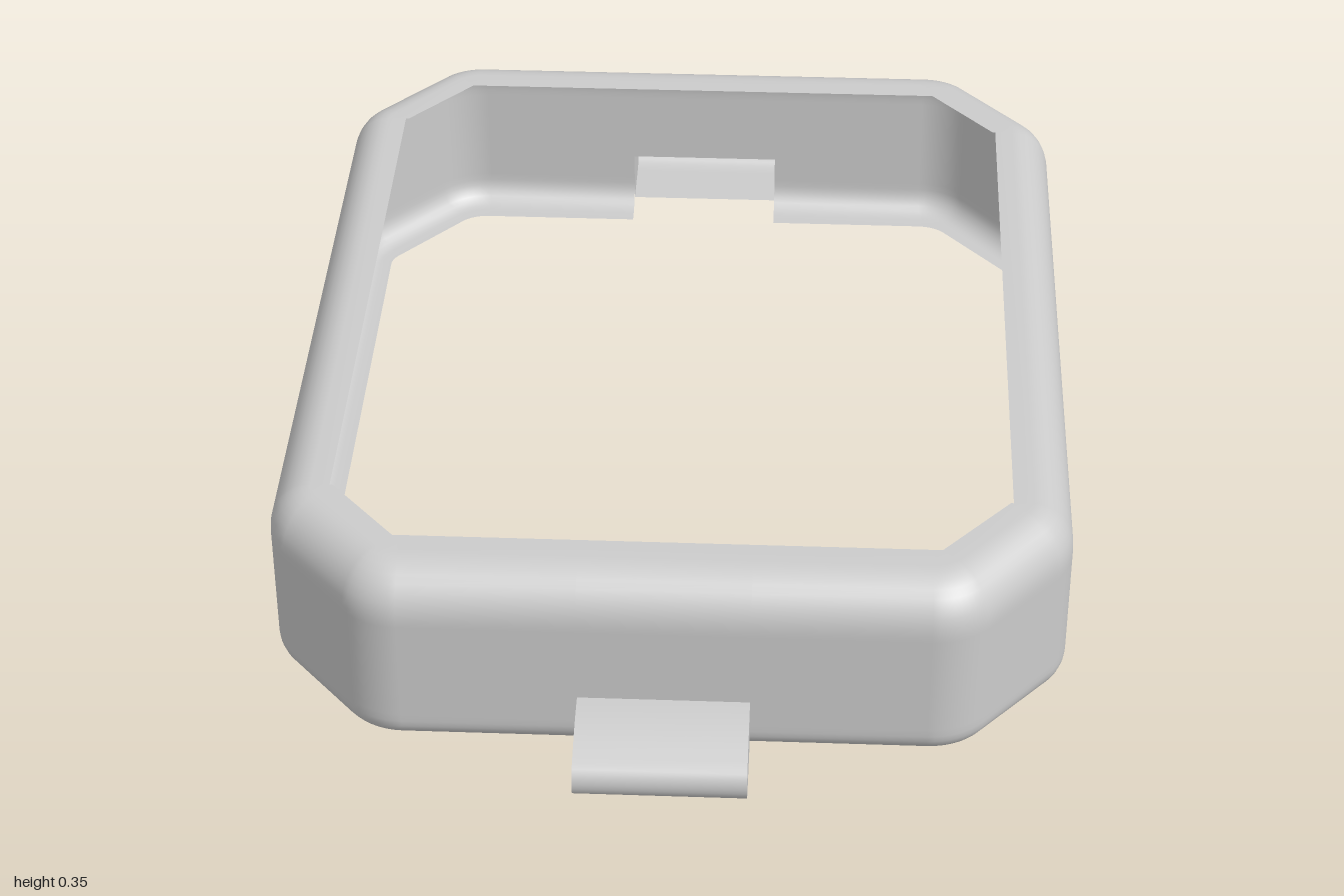
import * as THREE from 'three';

const material = new THREE.MeshStandardMaterial({ color: 0xcccccc, side: THREE.DoubleSide });
const TAB = 0.145, TAB_TOP = 0.11;          // half width and height of the tab openings
const WIN = 0.555, WIN_LOW = 0.06, WIN_HIGH = 0.25;

// Skin a grid of points; keep(col, row) may leave openings
function skin(cols, rows, point, closed, keep = () => true) {
  const pos = [], index = [];
  for (let j = 0; j < rows; j++) for (let i = 0; i < cols; i++) pos.push(...point(i, j));
  for (let j = 0; j < rows - 1; j++) {
    for (let i = 0; i < (closed ? cols : cols - 1); i++) {
      if (!keep(i, j)) continue;
      const a = j * cols + i, b = j * cols + (i + 1) % cols;
      index.push(a, b, b + cols, a, b + cols, a + cols);
    }
  }
  const g = new THREE.BufferGeometry();
  g.setAttribute('position', new THREE.Float32BufferAttribute(pos, 3));
  g.setIndex(index);
  g.computeVertexNormals();
  return g;
}

// Chamfered, rounded outline as points with outward normals
function outline() {
  const half = [], r = 0.125, steps = 8;
  const front = new THREE.Vector2(0, 1), side = new THREE.Vector2(1, 0), back = new THREE.Vector2(0, -1);
  const diagF = new THREE.Vector2(0.21, 0.185).normalize();
  const diagB = new THREE.Vector2(diagF.x, -diagF.y);
  const add = (x, z, n) => half.push({ x, z, nx: n.x, nz: n.y });
  const corner = (x, z, n1, n2) => {
    const k = r / (1 + n1.dot(n2));
    const cx = x - k * (n1.x + n2.x), cz = z - k * (n1.y + n2.y);
    for (let s = 0; s <= steps; s++) {
      const a1 = Math.atan2(n1.x, n1.y), a2 = Math.atan2(n2.x, n2.y);
      const a = a1 + (a2 - a1) * s / steps;
      const n = new THREE.Vector2(Math.sin(a), Math.cos(a));
      add(cx + r * n.x, cz + r * n.y, n);
    }
  };
  add(-TAB, 0.85, front);
  add(TAB, 0.85, front);
  corner(0.5, 0.85, front, diagF);
  corner(0.685, 0.64, diagF, side);
  add(0.685, WIN, side);
  add(0.685, -WIN, side);
  corner(0.685, -0.64, side, diagB);
  corner(0.5, -0.85, diagB, back);
  return [...half, ...half.map(p => ({ x: -p.x, z: -p.z, nx: -p.nx, nz: -p.nz }))];
}

// Wall section from bottom flange to top lip: [inset, height]
function section() {
  const list = [[0.07, 0]], rb = 0.045, rt = 0.085, top = 0.347;
  for (let s = 0; s <= 6; s++) {
    const a = s / 6 * Math.PI / 2;
    list.push([rb - rb * Math.sin(a), rb - rb * Math.cos(a)]);
  }
  list.push([0, WIN_LOW], [0, TAB_TOP], [0, WIN_HIGH]);
  for (let s = 0; s <= 8; s++) {
    const a = s / 8 * Math.PI / 2;
    list.push([rt - rt * Math.cos(a), top - rt + rt * Math.sin(a)]);
  }
  list.push([0.125, top]);
  return list;
}

function makeFrame() {
  const ring = outline(), rows = section();
  const inSpan = (p, q, key, limit) => Math.abs(p[key]) <= limit + 1e-6 && Math.abs(q[key]) <= limit + 1e-6;
  const keep = (i, j) => {
    const p = ring[i], q = ring[(i + 1) % ring.length];
    const low = rows[j][1], high = rows[j + 1][1];
    const window = inSpan(p, q, 'z', WIN) && low >= WIN_LOW - 1e-6 && high <= WIN_HIGH + 1e-6;
    const tabHole = inSpan(p, q, 'x', TAB) && high <= TAB_TOP + 1e-6;
    return !window && !tabHole;
  };
  const point = (i, j) => {
    const p = ring[i], [d, y] = rows[j];
    return [p.x - 0.84 * d * p.nx, y, p.z - d * p.nz];
  };
  return skin(ring.length, rows.length, point, true, keep);
}

// Hollow rounded tab, open toward the frame
function makeTab() {
  const tab = new THREE.Group();
  const shape = new THREE.Shape();
  shape.moveTo(0.85, TAB_TOP);
  shape.bezierCurveTo(0.91, 0.11, 0.95, 0.09, 0.98, 0.078);
  shape.bezierCurveTo(1.005, 0.068, 1.005, 0.03, 0.985, 0.018);
  shape.bezierCurveTo(0.975, 0.01, 0.96, 0.01, 0.95, 0.01);
  shape.lineTo(0.85, 0.01);
  const pts = shape.getPoints(8);
  const cover = new THREE.Mesh(
    skin(2, pts.length, (i, j) => [i ? -TAB : TAB, pts[j].y, pts[j].x], false), material);
  cover.name = 'tabCover';
  tab.add(cover);
  for (const s of [-1, 1]) {
    const cheek = new THREE.Mesh(new THREE.ShapeGeometry(shape, 8), material);
    cheek.rotation.y = -Math.PI / 2;
    cheek.position.x = s * TAB;
    cheek.name = 'tabCheek';
    tab.add(cheek);
  }
  return tab;
}

export function createModel() {
  const model = new THREE.Group();
  model.name = 'protectiveFrame';
  const frame = new THREE.Mesh(makeFrame(), material);
  frame.name = 'frameShell';
  model.add(frame);
  ['frontTab', 'backTab'].forEach((name, k) => {
    const tab = makeTab();
    tab.name = name;
    tab.rotation.y = k * Math.PI;
    model.add(tab);
  });
  return model;
}
